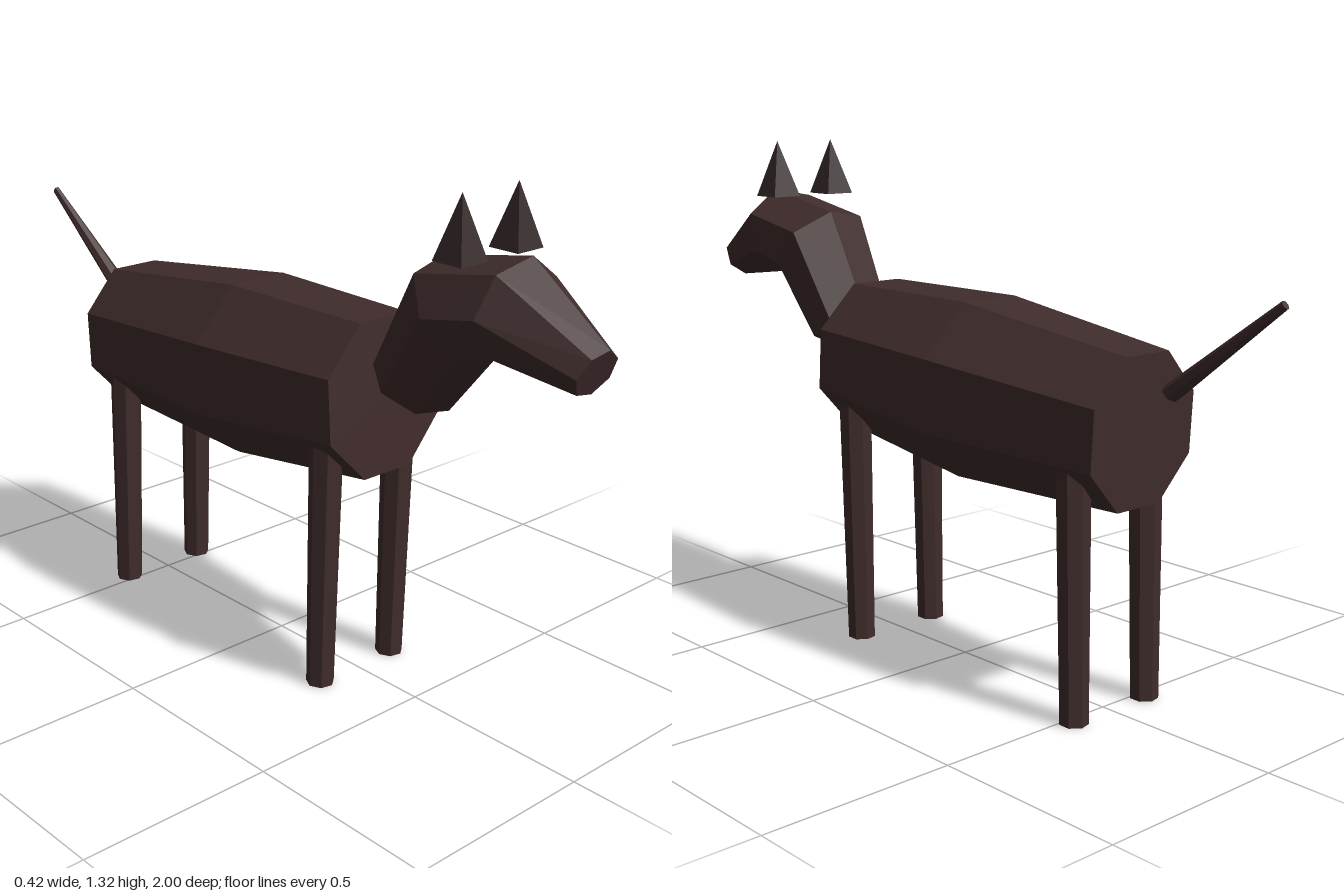
import * as THREE from 'three';

const coat = new THREE.MeshStandardMaterial({ color: 0x402c2c, flatShading: true });
coat.name = 'dark brown coat';
const earCoat = new THREE.MeshStandardMaterial({ color: 0x372a2a, flatShading: true });
earCoat.name = 'darker ear brown';

// Closed loft through polygon rings.
// Each ring: [z, y] of its upper edge, [z, y] of its lower edge, half width.
function loft(rings, sides, phase) {
  const angles = Array.from({ length: sides }, (_, k) => phase + (k * 2 * Math.PI) / sides);
  const maxCos = Math.max(...angles.map((a) => Math.abs(Math.cos(a))));
  const maxSin = Math.max(...angles.map((a) => Math.abs(Math.sin(a))));
  const pts = rings.map(([top, bottom, halfWidth]) => angles.map((a) => {
    const s = Math.sin(a) / maxSin;
    return [
      (halfWidth * Math.cos(a)) / maxCos,
      (top[1] + bottom[1]) / 2 + ((top[1] - bottom[1]) / 2) * s,
      (top[0] + bottom[0]) / 2 + ((top[0] - bottom[0]) / 2) * s,
    ];
  }));
  const out = [];
  const tri = (a, b, c) => out.push(...a, ...b, ...c);
  for (let r = 0; r < pts.length - 1; r++) {
    for (let k = 0; k < sides; k++) {
      const n = (k + 1) % sides;
      tri(pts[r][k], pts[r + 1][k], pts[r + 1][n]);
      tri(pts[r][k], pts[r + 1][n], pts[r][n]);
    }
  }
  const first = pts[0], last = pts[pts.length - 1];
  for (let k = 1; k < sides - 1; k++) {
    tri(first[0], first[k], first[k + 1]);
    tri(last[0], last[k + 1], last[k]);
  }
  const geo = new THREE.BufferGeometry();
  geo.setAttribute('position', new THREE.Float32BufferAttribute(out, 3));
  geo.computeVertexNormals();
  return geo;
}

export function createModel() {
  const model = new THREE.Group();
  model.name = 'animal';
  const add = (name, geo, material, x = 0, y = 0, z = 0) => {
    const mesh = new THREE.Mesh(geo, material);
    mesh.name = name;
    mesh.position.set(x, y, z);
    model.add(mesh);
  };

  // Eight-sided barrel body, front to back
  add('body', loft([
    [[0.36, 0.955], [0.385, 0.57], 0.183],
    [[-0.09, 0.955], [-0.07, 0.51], 0.208],
    [[-0.62, 0.885], [-0.6, 0.52], 0.168],
  ], 8, Math.PI / 8), coat);

  // Muzzle, forehead, poll and neck as one seven-sided bent tube
  add('headAndNeck', loft([
    [[1.003, 1.028], [0.962, 0.921], 0.065],
    [[0.775, 1.181], [0.743, 0.95], 0.137],
    [[0.517, 1.133], [0.69, 0.935], 0.136],
    [[0.383, 0.876], [0.555, 0.769], 0.113],
  ], 7, Math.PI), coat);

  // Tapered tail, rising to the back
  add('tail', loft([
    [[-0.674, 0.82], [-0.705, 0.788], 0.025],
    [[-0.987, 1.045], [-1.0, 1.028], 0.009],
  ], 7, Math.PI), coat);

  // Legs, foot to top, leaning slightly
  const leg = loft([
    [[0.035, 0], [-0.035, 0], 0.036],
    [[0.057, 0.67], [-0.027, 0.67], 0.043],
  ], 7, Math.PI);
  // Pyramid ears
  const ear = new THREE.ConeGeometry(0.06, 0.15, 4).rotateY(Math.PI / 4);

  for (const [side, s] of [['left', 1], ['right', -1]]) {
    add(side + 'FrontLeg', leg, coat, s * 0.123, 0, 0.286);
    add(side + 'HindLeg', leg, coat, s * 0.123, 0, -0.522);
    add(side + 'Ear', ear, earCoat, s * 0.091, 1.245, 0.675);
  }
  return model;
}
